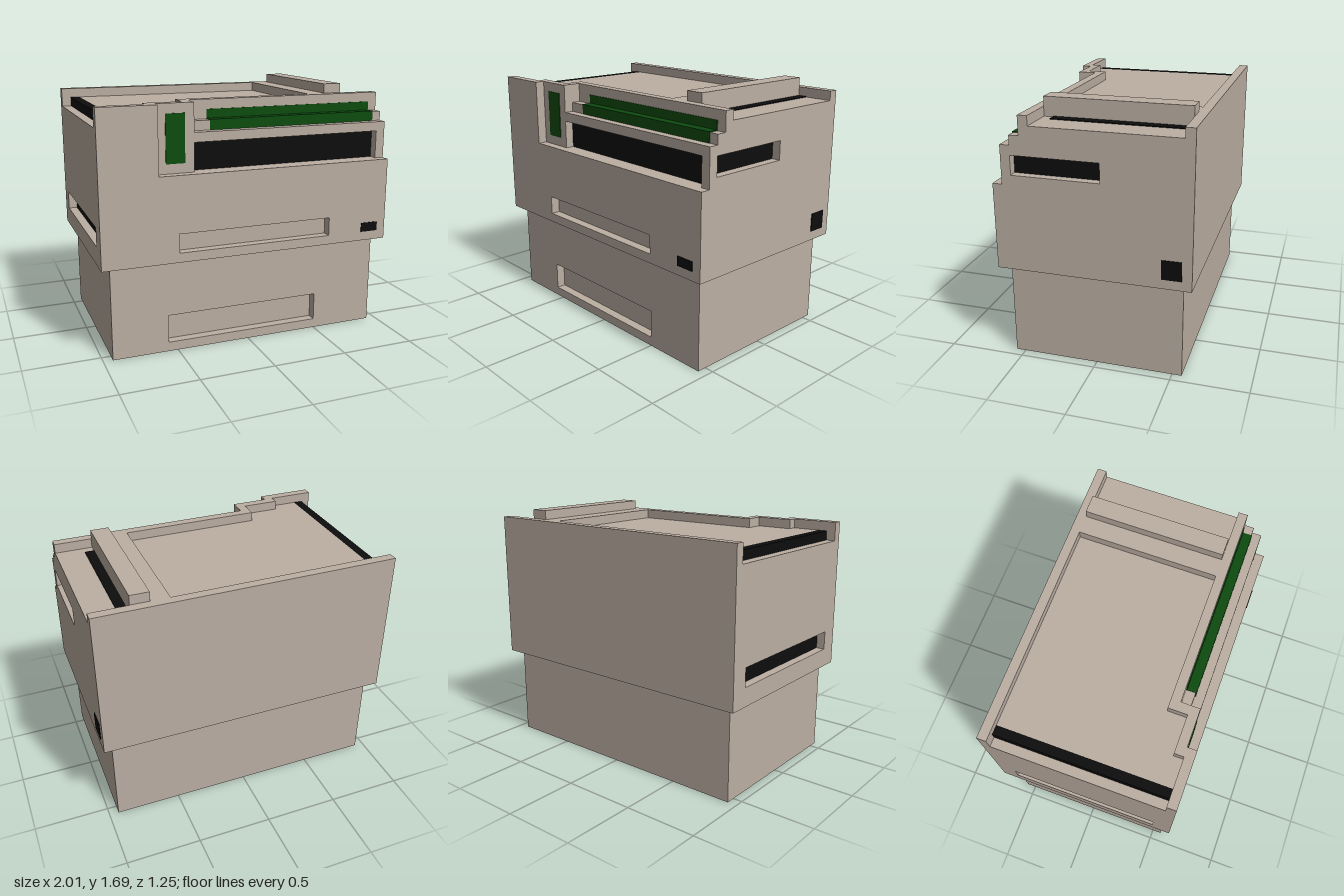
import * as THREE from 'three';

const U = 1 / 16; // grid step
const E = 0.08;   // thickness of painted plates, in grid steps

export function createModel() {
  const model = new THREE.Group();
  model.name = 'officePrinter';

  const material = (name, color) => {
    const m = new THREE.MeshStandardMaterial({ color });
    m.name = name;
    return m;
  };
  const beige = material('beige casing', 0xbcafa3);
  const black = material('black slot', 0x0d0d0d);
  const green = material('dark green display', 0x0d4c0f);

  // Box given by its two opposite corners in grid steps
  const box = (name, mat, [x0, y0, z0], [x1, y1, z1]) => {
    const geo = new THREE.BoxGeometry((x1 - x0) * U, (y1 - y0) * U, (z1 - z0) * U);
    const mesh = new THREE.Mesh(geo, mat);
    mesh.position.set((x0 + x1) / 2 * U, (y0 + y1) / 2 * U, (z0 + z1) / 2 * U);
    mesh.name = name;
    model.add(mesh);
  };

  // One-step-thick panel with a rectangular opening; rects are [a0, y0, a1, y1]
  const rectPoints = ([a0, y0, a1, y1]) =>
    [[a0, y0], [a1, y0], [a1, y1], [a0, y1]].map(([a, y]) => new THREE.Vector2(a * U, y * U));
  const panel = (name, outer, hole) => {
    const shape = new THREE.Shape(rectPoints(outer));
    shape.holes.push(new THREE.Path(rectPoints(hole).reverse()));
    const geo = new THREE.ExtrudeGeometry(shape, { depth: U, bevelEnabled: false });
    const mesh = new THREE.Mesh(geo, beige);
    mesh.name = name;
    model.add(mesh);
    return mesh;
  };
  // Side panels are drawn with a = -z, then turned to face +x
  const sidePanel = (name, x, outer, hole) => {
    const mesh = panel(name, outer, hole);
    mesh.rotation.y = Math.PI / 2;
    mesh.position.x = x * U;
  };

  // Lower paper drawer with handle recess
  box('base', beige, [-15, 0, -9], [15, 10, 8]);
  panel('baseDrawerFront', [-15, 0, 15, 10], [-9, 1, 8, 4]).position.z = 8 * U;

  // Main body with upper drawer front
  box('lowerBody', beige, [-15, 10, -10], [16, 19, 9]);
  panel('bodyDrawerFront', [-16, 10, 16, 19], [-8, 11, 9, 13]).position.z = 9 * U;
  box('upperBody', beige, [-15, 19, -10], [15, 24, 8]);

  // Side walls with long openings, black inside
  sidePanel('rightSidePanel', -16, [-9, 10, 10, 24], [-8, 12, 8, 14]);
  box('rightSideSlot', black, [-15 - E, 12, -8], [-15, 14, 8]);
  sidePanel('leftSidePanel', 15, [-9, 19, 10, 23], [-8, 20, 1, 22]);
  box('leftSidePanelTop', beige, [15, 23, -10], [16, 24, 8]);
  box('leftSideSlot', black, [15, 20, -1], [15 + E, 22, 8]);

  // Front face around the paper outlet
  box('frontCorner', beige, [-16, 19, 9], [-10, 26, 10]);
  box('controlColumn', beige, [-15, 19, 8], [-6, 24, 9]);
  box('outletLintel', beige, [-6, 22, 8], [15, 23, 9]);
  box('paperOutlet', black, [-6, 19, 8], [15, 22, 8 + E]);

  // Top deck; the right edge stays one step lower as a ledge
  box('topDeck', beige, [-14, 24, -10], [16, 25, 7]);
  box('topDeckCorner', beige, [-14, 24, 7], [-6, 25, 9]);
  box('backPost', beige, [-16, 24, -10], [-14, 25, -9]);
  box('trayRoller', black, [-15, 24, -9], [-14, 25, 9]);

  // Raised rim and rib on the deck
  box('backRim', beige, [-16, 25, -10], [16, 26, -9]);
  box('frontRimOuter', beige, [-11, 25, 8], [-7, 26, 9]);
  box('frontRimStep', beige, [-7, 25, 6], [-6, 26, 9]);
  box('frontRimInner', beige, [-6, 25, 6], [16, 26, 7]);
  box('deckRib', beige, [8, 25, -9], [10, 26, 6]);

  // Feeder bar with the slit beside it
  box('feederBar', beige, [10, 25, -9], [12, 27, 6]);
  box('feederSlit', black, [12, 25, -9], [13, 25 + E, 5]);

  // Displays: upright panel and stepped control strip
  box('statusDisplay', green, [-9, 20, 9], [-7, 25, 9 + E]);
  box('controlStripLower', green, [-4, 23, 8], [15, 24 + E, 8 + E]);
  box('controlStripTop', green, [-4, 24, 7], [15, 24 + E, 8]);
  box('controlStripUpper', green, [-4, 24, 7], [15, 25, 7 + E]);

  // Small ports
  box('frontPort', black, [13, 11, 10], [15, 12, 10 + E]);
  box('sidePort', black, [16, 11, -9], [16 + E, 13, -7]);

  // The control column rises flush with the rim
  box('columnTop', beige, [-10, 25, 8], [-6, 26, 9]);

  return model;
}
